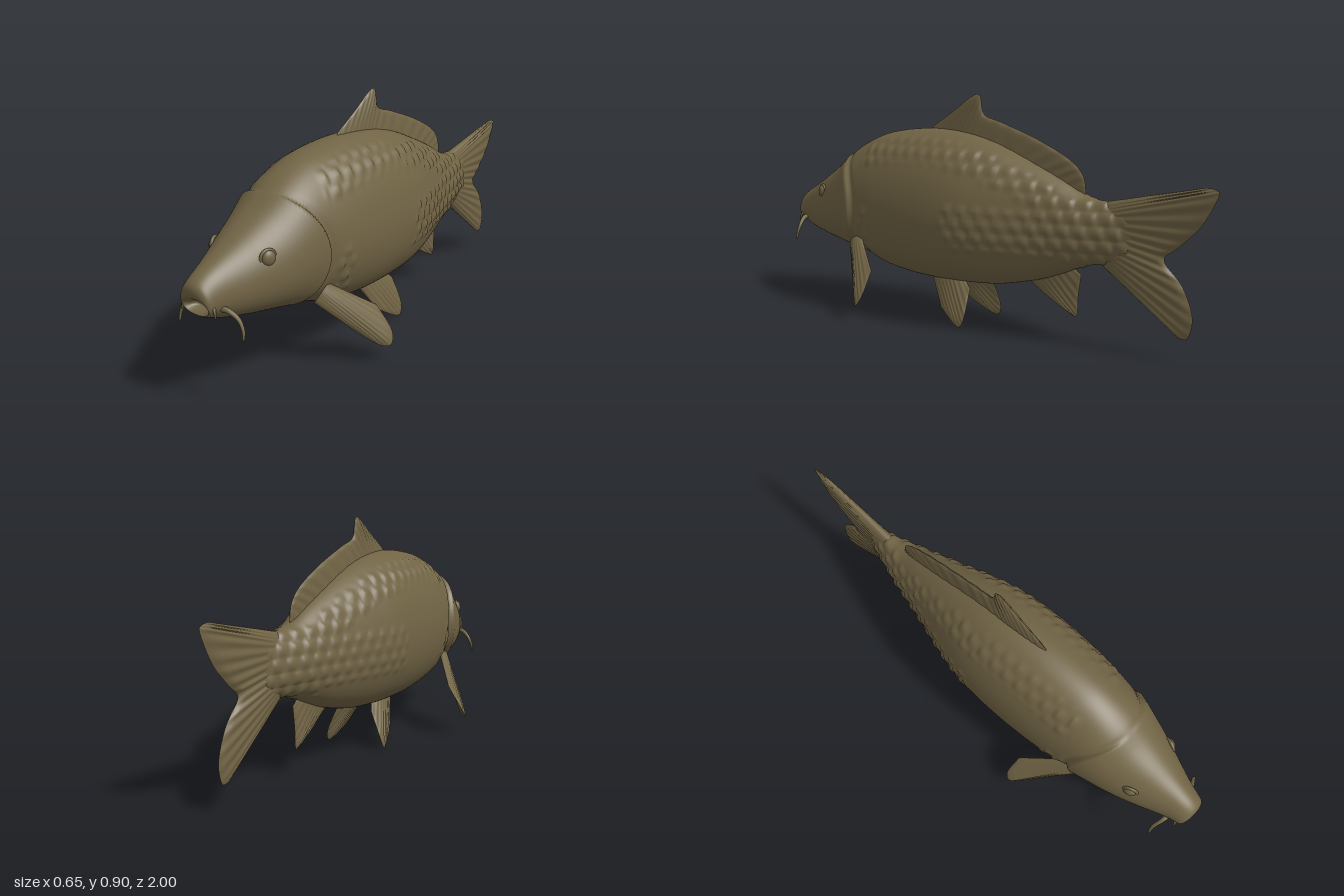
import * as THREE from 'three';

const skin = new THREE.MeshStandardMaterial({ color: 0x716445 });
skin.name = 'olive brown skin';

const V = (p) => new THREE.Vector3(...p);
const spline = (pts) => new THREE.CatmullRomCurve3(pts.map(V), false, 'catmullrom', 0.5);
const step = THREE.MathUtils.smoothstep;
const band = (v, lo, hi, soft) => step(v, lo - soft, lo) * (1 - step(v, hi, hi + soft));
const frac = (v) => v - Math.floor(v);

// Smooth surface through closed rings: at(u, v) gives a point, v runs round the ring
function loft(rows, cols, at) {
  const pos = [], index = [], mid = new THREE.Vector3();
  for (let i = 0; i <= rows; i++) {
    for (let j = 0; j < cols; j++) {
      const p = at(i / rows, j / cols);
      pos.push(p.x, p.y, p.z);
      mid.add(p);
    }
  }
  mid.divideScalar(pos.length / 3);
  for (let i = 0; i < rows; i++) {
    for (let j = 0; j < cols; j++) {
      const a = i * cols + j, b = i * cols + ((j + 1) % cols);
      index.push(a, b, a + cols, b, b + cols, a + cols);
    }
  }
  // Turn the faces outward by the sign of the enclosed volume
  let volume = 0;
  const corner = (k) => new THREE.Vector3().fromArray(pos, index[k] * 3).sub(mid);
  for (let k = 0; k < index.length; k += 3) {
    volume += corner(k).dot(corner(k + 1).cross(corner(k + 2)));
  }
  if (volume < 0) index.reverse();
  const geo = new THREE.BufferGeometry();
  geo.setAttribute('position', new THREE.Float32BufferAttribute(pos, 3));
  geo.setIndex(index);
  geo.computeVertexNormals();
  return geo;
}

// Body stations from inside the mouth to the tail root: z, top, bottom, half width
const STATIONS = [
  [0.945, 0.352, 0.35, 0.002], [0.955, 0.365, 0.338, 0.03], [0.978, 0.372, 0.332, 0.045],
  [0.995, 0.39, 0.322, 0.056], [0.985, 0.423, 0.312, 0.064], [0.955, 0.452, 0.304, 0.07],
  [0.9, 0.487, 0.29, 0.086], [0.8, 0.545, 0.27, 0.125], [0.7, 0.605, 0.255, 0.158],
  [0.6, 0.675, 0.238, 0.18], [0.5, 0.722, 0.213, 0.192], [0.4, 0.747, 0.182, 0.207],
  [0.25, 0.762, 0.165, 0.217], [0.1, 0.76, 0.163, 0.217], [-0.03, 0.74, 0.168, 0.205],
  [-0.15, 0.705, 0.18, 0.178], [-0.3, 0.645, 0.215, 0.134], [-0.4, 0.6, 0.25, 0.107],
  [-0.5, 0.55, 0.292, 0.082], [-0.6, 0.527, 0.315, 0.05], [-0.68, 0.51, 0.335, 0.026],
  [-0.76, 0.43, 0.41, 0.002],
];

// Raised overlapping scales in patches along the back, flank and shoulder
function scaleRelief(z, y, top) {
  const below = top - y;
  const patch = Math.max(
    band(below, 0.05, 0.11, 0.03) * band(z, -0.5, 0.45, 0.06),
    band(y, 0.34, 0.47, 0.03) * band(z, -0.66, 0.0, 0.05),
    band(y, 0.27, 0.42, 0.03) * band(z, 0.42, 0.47, 0.03) * 0.8,
    band(y, 0.3, 0.52, 0.03) * band(z, -0.66, -0.45, 0.05),
  );
  const row = y / 0.05, r = Math.floor(row);
  const along = frac(-z / 0.06 + 0.5 * Math.abs(r % 2));
  const rise = step(along, 0, 0.75) * (1 - step(along, 0.78, 1));
  return 0.008 * patch * rise * Math.sin(Math.PI * frac(row));
}

function bodyGeometry() {
  const outline = spline(STATIONS.map(([z, t, b]) => [z, t, b]));
  const girth = spline(STATIONS.map((s) => [s[3], 0, 0]));
  return loft(300, 128, (u, v) => {
    const o = outline.getPoint(u), top = o.y, bottom = o.z;
    const w = girth.getPoint(u).x, a = v * Math.PI * 2;
    const c = Math.cos(a), s = Math.sin(a);
    const mid = bottom + 0.43 * (top - bottom);
    let y = mid + c * (c > 0 ? top - mid : mid - bottom);
    let x = w * Math.sign(s) * Math.pow(Math.abs(s), c > 0 ? 1 : 0.85);
    // Lean the mouth so the upper lip overhangs
    const z = o.x + 0.35 * (y - 0.39) * (1 - step(u, 0.18, 0.32));
    // Gill cover: a rounded plate ending in a step behind the cheek
    const d = z - (0.53 + 2.4 * (y - 0.43) ** 2);
    let push = 0;
    if (z < 0.8) {
      const side = Math.min(1, Math.abs(s) * 1.3);
      push += 0.013 * side * step(d, -0.012, 0.01) * Math.exp(-Math.max(d, 0) / 0.08);
      push -= 0.006 * side * Math.exp(-(((d + 0.018) / 0.015) ** 2));
    }
    if (z < 0.55) push += scaleRelief(z, y, top) * (1 - step(d, -0.04, -0.01));
    x += s * push;
    y += c * push;
    return new THREE.Vector3(x, y, z);
  });
}

// Fin: rays fan from a base line to an outer edge, thin at the rim
function finGeometry(base, edge, normal, thick, rays) {
  const A = spline(base), B = spline(edge), n = V(normal).normalize(), half = rays * 6;
  return loft(16, half * 2, (t, v) => {
    const front = v < 0.5, s = front ? v * 2 : 2 - v * 2;
    const p = A.getPoint(s).lerp(B.getPoint(s), t);
    const rim = Math.sqrt(Math.max(0, 1 - t ** 10)) * Math.pow(Math.max(0, Math.sin(Math.PI * s)), 0.4);
    const ray = 1 + 0.22 * t * Math.cos(2 * Math.PI * rays * s);
    return p.addScaledVector(n, (front ? 1 : -1) * thick * (1 - 0.65 * t) * rim * ray);
  });
}

// Tapering whisker
function barbelGeometry(points, radius) {
  const path = spline(points), zAxis = new THREE.Vector3(0, 0, 1);
  return loft(18, 10, (u, v) => {
    const across = path.getTangent(u).cross(zAxis).normalize();
    const r = radius * (u === 1 ? 0.02 : 1 - 0.65 * u), a = v * Math.PI * 2;
    return path.getPoint(u).addScaledVector(zAxis, r * Math.sin(a)).addScaledVector(across, r * Math.cos(a));
  });
}

export function createModel() {
  const fish = new THREE.Group();
  fish.name = 'fish';
  const add = (name, geo) => {
    const mesh = new THREE.Mesh(geo, skin);
    mesh.name = name;
    fish.add(mesh);
    return mesh;
  };
  const flat = (pts) => pts.map(([z, y]) => [0, y, z]);

  add('body', bodyGeometry());

  // Fins on the centre line, given as z, y
  add('dorsalFin', finGeometry(
    flat([[0.25, 0.74], [0.16, 0.74], [0.08, 0.735], [0, 0.72], [-0.2, 0.66], [-0.35, 0.6], [-0.48, 0.53]]),
    flat([[0.23, 0.77], [0.12, 0.835], [0.03, 0.893], [-0.01, 0.895], [-0.03, 0.825], [-0.12, 0.795],
      [-0.28, 0.74], [-0.42, 0.675], [-0.48, 0.62], [-0.495, 0.555]]),
    [1, 0, 0], 0.022, 18));
  add('tailFin', finGeometry(
    flat([[-0.56, 0.53], [-0.6, 0.47], [-0.6, 0.37], [-0.56, 0.31]]),
    flat([[-0.95, 0.612], [-0.985, 0.608], [-0.998, 0.585], [-0.94, 0.48], [-0.86, 0.4], [-0.81, 0.35],
      [-0.88, 0.27], [-0.92, 0.17], [-0.905, 0.095], [-0.87, 0.088]]),
    [1, 0, 0], 0.034, 16));
  add('analFin', finGeometry(
    flat([[-0.23, 0.22], [-0.32, 0.26], [-0.42, 0.3]]),
    flat([[-0.33, 0.155], [-0.44, 0.1], [-0.465, 0.105], [-0.468, 0.17], [-0.48, 0.255]]),
    [1, 0, 0], 0.02, 8));

  // Paired parts, mirrored across the middle
  for (const [label, k] of [['left', 1], ['right', -1]]) {
    const m = (pts) => pts.map(([x, y, z]) => [k * x, y, z]);
    add(label + 'PectoralFin', finGeometry(
      m([[0.145, 0.26, 0.57], [0.15, 0.29, 0.54], [0.15, 0.31, 0.5]]),
      m([[0.26, 0.105, 0.43], [0.3, 0.07, 0.39], [0.325, 0.07, 0.36], [0.31, 0.115, 0.337], [0.25, 0.2, 0.345]]),
      [k * 0.75, 0.55, 0.1], 0.018, 9));
    add(label + 'PelvicFin', finGeometry(
      m([[0.05, 0.19, 0.2], [0.05, 0.2, 0.12], [0.05, 0.2, 0.04]]),
      m([[0.095, 0.06, 0.115], [0.12, 0.008, 0.025], [0.125, 0.008, -0.01], [0.115, 0.055, -0.025], [0.075, 0.15, -0.02]]),
      [k * 0.9, 0.42, 0], 0.022, 8));
    add(label + 'Barbel', barbelGeometry(
      m([[0.06, 0.345, 0.93], [0.09, 0.34, 0.925], [0.12, 0.315, 0.915], [0.137, 0.28, 0.915], [0.14, 0.247, 0.92]]), 0.011));
    add(label + 'LipBarbel', barbelGeometry(
      m([[0.05, 0.365, 0.96], [0.066, 0.352, 0.965], [0.074, 0.325, 0.97]]), 0.008));

    const eye = add(label + 'Eye', new THREE.SphereGeometry(0.025, 24, 16));
    eye.scale.set(0.65, 1.1, 1);
    eye.position.set(k * 0.119, 0.475, 0.765);
    eye.rotation.y = -k * 0.35;

    const socket = add(label + 'EyeRim', new THREE.TorusGeometry(0.027, 0.006, 8, 28));
    socket.position.set(k * 0.117, 0.475, 0.765);
    socket.rotation.set(0, k * (Math.PI / 2 - 0.35), 0);
  }
  return fish;
}
